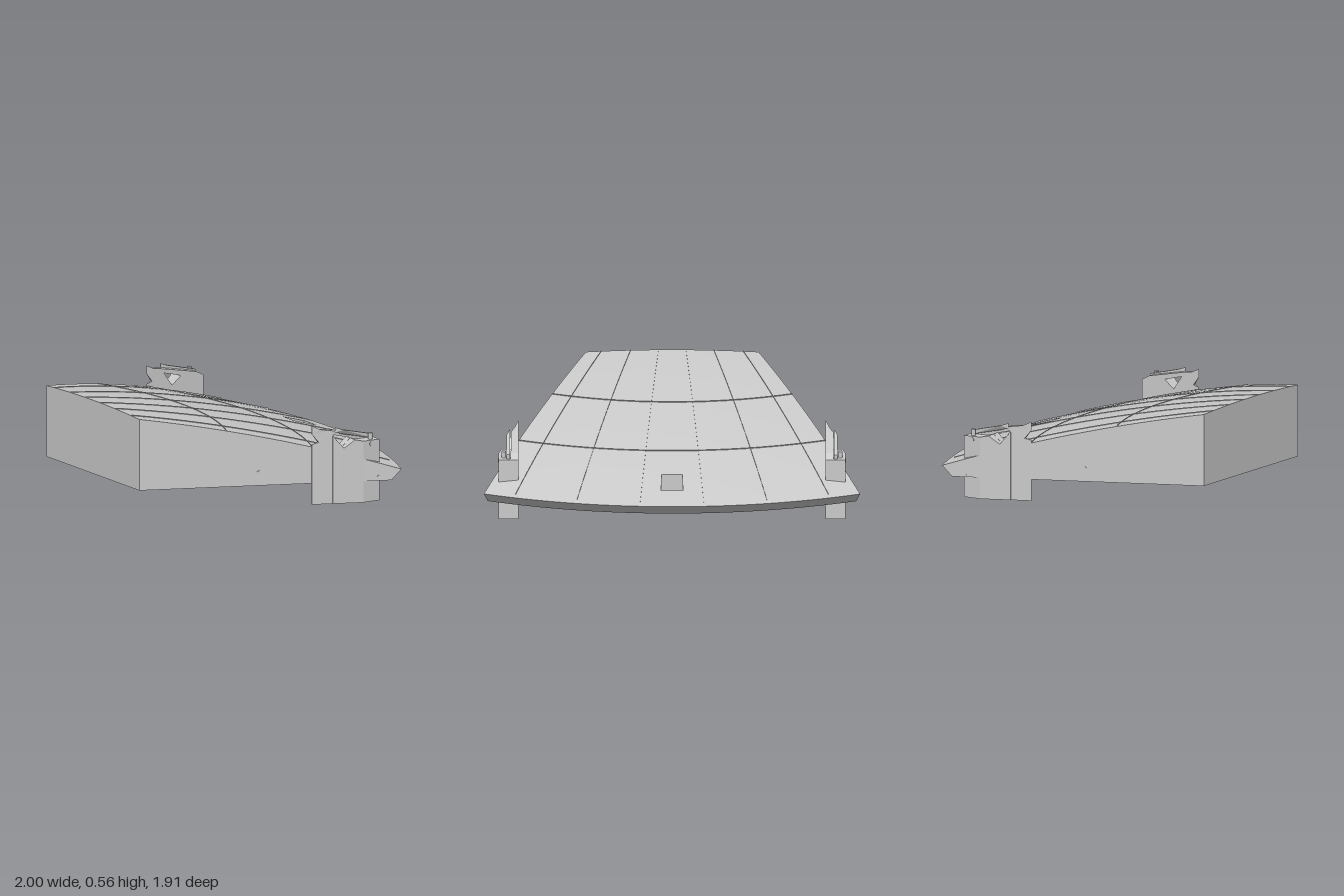
import * as THREE from 'three';
import { toCreasedNormals } from 'three/addons/utils/BufferGeometryUtils.js';

const grey = new THREE.MeshStandardMaterial({ color: 0xcacaca, side: THREE.DoubleSide });
grey.name = 'light grey';

// The wedge is a 45 degree sector; locally its apex is the origin and it points to -z.
const HALF = Math.PI / 8, R = 2.82, INNER = 1.195, BASE = 0.125;
const TAN = Math.tan(HALF);
const domeY = r => 0.639 - 0.0567 * r * r;
const polar = (r, a, y) => [r * Math.sin(a), y, -r * Math.cos(a)];

function mesh(name, geometry, parent) {
  const m = new THREE.Mesh(geometry, grey);
  m.name = name;
  parent.add(m);
  return m;
}

function fromPositions(positions) {
  const g = new THREE.BufferGeometry();
  g.setAttribute('position', new THREE.Float32BufferAttribute(positions, 3));
  g.computeVertexNormals();
  return g;
}

// Domed solid sector with a straight inner edge, bevelled rim and a square opening
function panelGeometry() {
  const angles = [], hole = 0.0235, n = 14;
  for (let k = 0; k <= n; k++) angles.push(-HALF + (HALF - hole) * k / n);
  for (let k = 0; k <= n; k++) angles.push(hole + (HALF - hole) * k / n);
  const ts = [];
  for (let k = 0; k <= 12; k++) ts.push(0.82 * k / 12);
  ts.push(0.865, 0.91, 0.955, 1);
  const cols = angles.length - 1, rows = ts.length - 1;
  const present = (i, j) =>
    i >= 0 && j >= 0 && i < cols && j < rows && !(i === n && (j === 12 || j === 13));
  const point = (i, j, top) => {
    const a = angles[i], t = ts[j], start = INNER / Math.cos(a);
    const r = start + (R - start) * t;
    const inset = t === 1 ? 0.058 : t > 0.9 ? 0.02 : 0;
    return top ? polar(r, a, domeY(r)) : polar(r - inset, a, BASE);
  };
  const pos = [];
  const quad = (a, b, c, d) => pos.push(...a, ...b, ...c, ...a, ...c, ...d);
  for (let i = 0; i < cols; i++) for (let j = 0; j < rows; j++) {
    if (!present(i, j)) continue;
    const c = [[i, j], [i + 1, j], [i + 1, j + 1], [i, j + 1]];
    const neighbours = [[i, j - 1], [i + 1, j], [i, j + 1], [i - 1, j]];
    quad(...c.map(p => point(...p, true)));
    quad(...c.map(p => point(...p, false)).reverse());
    neighbours.forEach((nb, k) => {
      if (present(...nb)) return;
      const p = c[k], q = c[(k + 1) % 4];
      quad(point(...p, false), point(...q, false), point(...q, true), point(...p, true));
    });
  }
  return toCreasedNormals(fromPositions(pos), 0.5);
}

// Thin upright ribbon standing on the dome along a path of [r, angle]
function ribbon(path) {
  const pos = [];
  for (let k = 0; k + 1 < path.length; k++) {
    const [p, q] = [path[k], path[k + 1]];
    const a = polar(...p, domeY(p[0]) - 0.002), b = polar(...q, domeY(q[0]) - 0.002);
    const c = polar(...q, domeY(q[0]) + 0.005), d = polar(...p, domeY(p[0]) + 0.005);
    pos.push(...a, ...b, ...c, ...a, ...c, ...d);
  }
  return fromPositions(pos);
}

// Extrude a (radius, height) profile from x0 to x1, trimmed by the sector's side plane
function trimmedBlock(x0, x1, profile, hole) {
  const shape = new THREE.Shape(profile.map(p => new THREE.Vector2(...p)));
  if (hole) shape.holes.push(new THREE.Path(hole.map(p => new THREE.Vector2(...p))));
  const g = new THREE.ExtrudeGeometry(shape, { depth: 1, bevelEnabled: false });
  const p = g.attributes.position;
  for (let i = 0; i < p.count; i++) {
    const u = p.getX(i), outer = Math.min(x1, u * TAN + 0.002);
    p.setXYZ(i, x0 + (outer - x0) * p.getZ(i), p.getY(i), -u);
  }
  g.computeVertexNormals();
  return g;
}

// Short bolt end showing on a side face
function bolt(position, turn, parent) {
  const g = new THREE.CylinderGeometry(0.013, 0.013, 0.006, 16).rotateZ(Math.PI / 2);
  const m = mesh('boltEnd', g, parent);
  m.position.set(...position);
  m.rotation.y = turn;
}

// Foot, open jaw, slanted arm and pin of one latch, with the bolts on its side
function latch(side) {
  const g = new THREE.Group();
  g.name = side > 0 ? 'leftLatch' : 'rightLatch';
  mesh('latchJawTip', trimmedBlock(0.88, 0.925,
    [[2.122, 0], [2.235, 0], [2.235, 0.43], [2.17, 0.44], [2.122, 0.463],
      [2.122, 0.415], [2.16, 0.365], [2.122, 0.355]]), g);
  mesh('latchJaw', trimmedBlock(0.88, 0.925,
    [[2.235, 0], [2.51, 0], [2.51, 0.36], [2.46, 0.385], [2.235, 0.43]],
    [[2.24, 0.405], [2.295, 0.325], [2.355, 0.375]]), g);
  mesh('latchCheek', trimmedBlock(0.925, 0.995,
    [[2.235, 0], [2.4, 0], [2.4, 0.362], [2.355, 0.372], [2.295, 0.325], [2.235, 0.4]]), g);
  mesh('latchBlock', trimmedBlock(0.925, 0.995,
    [[2.4, 0], [2.51, 0], [2.51, 0.36], [2.4, 0.362]]), g);
  mesh('latchArm', trimmedBlock(0.93, 0.95,
    [[2.247, 0.42], [2.295, 0.407], [2.49, 0.36], [2.49, 0.385], [2.295, 0.433],
      [2.247, 0.45]]), g);
  const pin = mesh('latchPin', new THREE.CylinderGeometry(0.013, 0.013, 0.04, 16), g);
  pin.position.set(0.965, 0.378, -2.465);
  bolt(polar(1.99, HALF, 0.2), -HALF, g);
  bolt(polar(2.69, HALF, 0.145), -HALF, g);
  bolt([0.995, 0.34, -2.455], 0, g);
  g.scale.x = side;
  return g;
}

export function createModel() {
  const model = new THREE.Group();
  model.name = 'domedSectorPanel';
  const sector = new THREE.Group();
  sector.name = 'sector';
  sector.position.set(-0.996, 0, 1.867);
  sector.rotation.y = -HALF;
  model.add(sector);

  mesh('panel', panelGeometry(), sector);

  // Radial seams on the dome
  for (let k = 0; k < 6; k++) {
    const a = THREE.MathUtils.degToRad(-18.75 + 7.5 * k), start = INNER / Math.cos(a);
    const line = Array.from({ length: 17 }, (_, i) => [start + (R - 0.03 - start) * i / 16, a]);
    mesh('topRadialSeam', ribbon(line), sector);
  }
  // Ring seams across the dome
  for (const r of [1.8, 2.3]) {
    const arc = Array.from({ length: 33 }, (_, i) => [r, HALF * (i / 16 - 1)]);
    mesh('ringSeam', ribbon(arc), sector);
  }
  // Narrow radial strips under the base; the middle one stops at the opening
  for (let k = -4; k <= 4; k++) {
    const a = THREE.MathUtils.degToRad(5 * k), start = INNER / Math.cos(a) + 0.05;
    const end = k ? R - 0.12 : 2.51;
    const strip = mesh('undersideSeam', new THREE.BoxGeometry(0.014, 0.002, end - start), sector);
    strip.position.set(...polar((start + end) / 2, a, BASE - 0.001));
    strip.rotation.y = -a;
  }

  sector.add(latch(1), latch(-1));
  return model;
}
